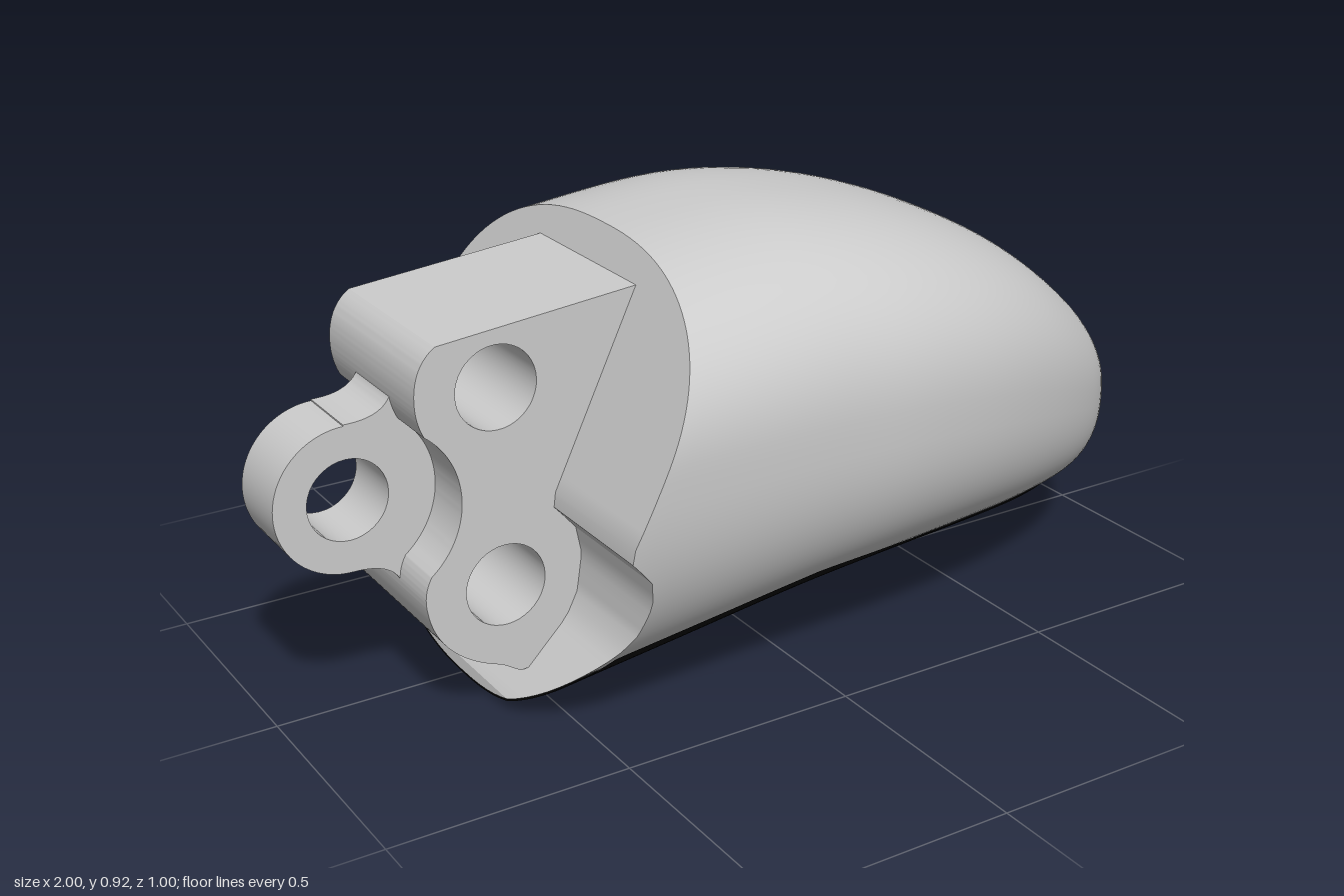
import * as THREE from 'three';
import { toCreasedNormals } from 'three/addons/utils/BufferGeometryUtils.js';

// Smooth interpolation through a few key values
function curve(xs, ys) {
  const slope = xs.map((_, i) => {
    const a = Math.max(i - 1, 0), b = Math.min(i + 1, xs.length - 1);
    return (ys[b] - ys[a]) / (xs[b] - xs[a]);
  });
  return (x) => {
    let i = 0;
    while (i < xs.length - 2 && x > xs[i + 1]) i++;
    const h = xs[i + 1] - xs[i], t = (x - xs[i]) / h, t2 = t * t, t3 = t2 * t;
    return (2 * t3 - 3 * t2 + 1) * ys[i] + (t3 - 2 * t2 + t) * h * slope[i]
      + (3 * t2 - 2 * t3) * ys[i + 1] + (t3 - t2) * h * slope[i + 1];
  };
}

function linear(points, v) {
  let i = 0;
  while (i < points.length - 2 && v > points[i + 1][0]) i++;
  const [a, b] = [points[i], points[i + 1]];
  return THREE.MathUtils.lerp(a[1], b[1], THREE.MathUtils.clamp((v - a[0]) / (b[0] - a[0]), 0, 1));
}

// Profiles along the length; arcsine spacing keeps the tip round
const stations = [-0.6, -0.3, 0, 0.2, 0.4, 0.6, 0.8, 0.9, 0.97, 1];
const along = (ys) => {
  const f = curve(stations.map(Math.asin), ys);
  return (x) => f(Math.asin(THREE.MathUtils.clamp(x, -0.62, 1)));
};
const top = along([0.86, 0.895, 0.925, 0.907, 0.855, 0.765, 0.62, 0.52, 0.42, 0.33]);
const bottom = along([0.005, 0.055, 0.105, 0.13, 0.14, 0.14, 0.147, 0.18, 0.245, 0.33]);
const half = along([0.49, 0.495, 0.5, 0.5, 0.47, 0.405, 0.3, 0.215, 0.12, 0]);
const middle = along([0.56, 0.56, 0.56, 0.55, 0.52, 0.47, 0.4, 0.36, 0.34, 0.33]);
const POWER = 2.45;

// Slanted rear cut with a round scoop near the lower pin: [y, x]
const cutLine = [[0, -0.6], [0.03, -0.595], [0.17, -0.455], [0.22, -0.43], [0.3, -0.418],
  [0.36, -0.43], [0.42, -0.483], [0.92, -0.243]];
// Upper edge of the grip pad: [x, y]
const padEdge = [[-0.6, 0.13], [-0.45, 0.17], [-0.2, 0.21], [0, 0.243], [0.2, 0.25],
  [0.4, 0.24], [0.6, 0.21], [0.8, 0.172]];

// Rounded section point; angle 0 is the bottom, growing toward +z
function sectionPoint(x, angle, grow = 0) {
  const c = Math.cos(angle), s = Math.sin(angle), m = middle(x);
  const bend = (v) => Math.sign(v) * Math.pow(Math.abs(v), 2 / POWER);
  const h = (c > 0 ? m - bottom(x) : top(x) - m) + grow;
  return new THREE.Vector3(x, m - h * bend(c), (half(x) + grow) * bend(s));
}

// Find where a line of the surface meets the rear cut
function cutX(angleAt) {
  let x = -0.45;
  for (let k = 0; k < 30; k++) x = linear(cutLine, sectionPoint(x, angleAt(x)).y);
  return x;
}

function gridGeometry(rows, cols, wrap, pointAt) {
  const pos = [], idx = [], n = wrap ? cols : cols + 1;
  for (let j = 0; j <= rows; j++)
    for (let i = 0; i < n; i++) pos.push(...pointAt(j / rows, i / cols).toArray());
  for (let j = 0; j < rows; j++)
    for (let i = 0; i < cols; i++) {
      const k = (i + 1) % n, a = j * n + i, b = a + n, c = (j + 1) * n + k, d = j * n + k;
      idx.push(a, b, c, a, c, d);
    }
  const g = new THREE.BufferGeometry();
  g.setAttribute('position', new THREE.Float32BufferAttribute(pos, 3));
  g.setIndex(idx);
  g.computeVertexNormals();
  return g;
}

function bodyGeometry() {
  return gridGeometry(56, 120, true, (u, v) => {
    const a = v * Math.PI * 2, x0 = cutX(() => a);
    return sectionPoint(x0 + (1 - x0) * Math.sin(u * Math.PI / 2), a);
  });
}

// Closing face, strips spanning from side to side
function rearFaceGeometry() {
  const g = gridGeometry(1, 60, false, (u, v) => {
    const a = v * Math.PI, p = sectionPoint(cutX(() => a), a);
    p.z *= 1 - 2 * (1 - u);
    return p;
  });
  return toCreasedNormals(g, 0.4);
}

// Pad hugging the underside, with a rounded notch at the tip end
function padGeometry() {
  const limit = (x) => {
    const m = middle(x), r = (m - linear(padEdge, x)) / (m - bottom(x));
    return Math.acos(Math.pow(THREE.MathUtils.clamp(r, 0, 1), POWER / 2));
  };
  return gridGeometry(50, 48, false, (u, t) => {
    const v = t * 2 - 1, x0 = cutX((x) => v * limit(x));
    const end = 0.6 + 0.2 * Math.pow(Math.abs(v), 3);
    const x = THREE.MathUtils.lerp(x0, end, u);
    return sectionPoint(x, v * limit(x), 0.004);
  });
}

function plate(shape, holes, z0, z1) {
  for (const [x, y, r] of holes)
    shape.holes.push(new THREE.Path().absarc(x, y, r, 0, Math.PI * 2, true));
  const g = new THREE.ExtrudeGeometry(shape, { depth: z1 - z0, bevelEnabled: false, curveSegments: 20 });
  return toCreasedNormals(g.translate(0, 0, z0), 0.5);
}

// Block carrying the two pin holes
function blockGeometry() {
  const s = new THREE.Shape();
  s.moveTo(-0.25, 0.833);
  s.lineTo(-0.71, 0.79);
  s.quadraticCurveTo(-0.757, 0.76, -0.757, 0.69);
  s.quadraticCurveTo(-0.757, 0.65, -0.74, 0.617);
  s.absarc(-0.85, 0.475, 0.18, 0.91, -0.91, true);
  s.quadraticCurveTo(-0.76, 0.3, -0.752, 0.26);
  s.bezierCurveTo(-0.74, 0.18, -0.68, 0.13, -0.6, 0.105);
  s.lineTo(-0.56, 0.08);
  s.lineTo(-0.35, 0.1);
  return plate(s, [[-0.59, 0.685, 0.085], [-0.585, 0.275, 0.085]], -0.195, 0.185);
}

// Narrow lug with one hole, flaring into the block
function lugGeometry() {
  const s = new THREE.Shape();
  s.moveTo(-0.7, 0.66);
  s.lineTo(-0.752, 0.67);
  s.quadraticCurveTo(-0.77, 0.625, -0.85, 0.628);
  s.absarc(-0.85, 0.475, 0.15, Math.PI / 2, Math.PI * 1.5, false);
  s.quadraticCurveTo(-0.77, 0.325, -0.752, 0.28);
  s.lineTo(-0.7, 0.3);
  s.lineTo(-0.66, 0.42);
  s.lineTo(-0.66, 0.54);
  return plate(s, [[-0.85, 0.475, 0.083]], -0.08, 0.07);
}

export function createModel() {
  const group = new THREE.Group();
  const grey = new THREE.MeshStandardMaterial({ color: 0xcccccc });
  const black = new THREE.MeshStandardMaterial({ color: 0x030303, side: THREE.DoubleSide });
  const add = (name, geometry, material) => {
    const mesh = new THREE.Mesh(geometry, material);
    mesh.name = name;
    group.add(mesh);
  };
  add('fingertipBody', bodyGeometry(), grey);
  add('rearFace', rearFaceGeometry(), grey);
  add('gripPad', padGeometry(), black);
  add('hingeBlock', blockGeometry(), grey);
  add('hingeLug', lugGeometry(), grey);
  return group;
}
